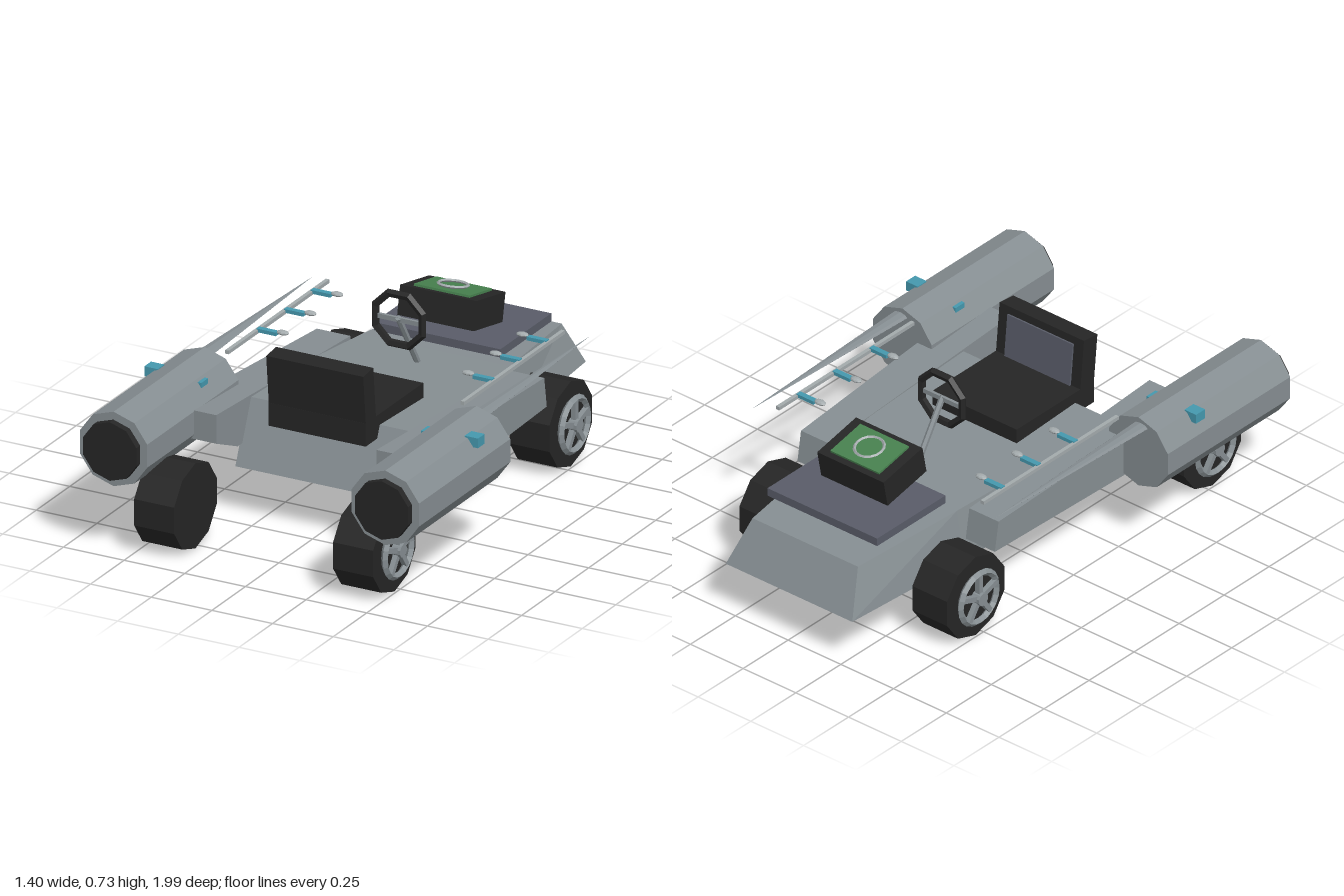
import * as THREE from 'three';

const flat = (name, color, side = THREE.FrontSide) => {
  const m = new THREE.MeshStandardMaterial({ color, flatShading: true, side });
  m.name = name;
  return m;
};

export function createModel() {
  const root = new THREE.Group();
  root.name = 'hoverBuggy';
  const grey = flat('bodyGrey', 0x868e92);
  const silver = flat('lightMetal', 0xa3aaac);
  const black = flat('rubberBlack', 0x252525);
  const slate = flat('slatePanel', 0x595c68);
  const green = flat('screenGreen', 0x47814f);
  const cyan = flat('cyanFitting', 0x4598ae);

  const add = (parent, name, geo, mat, x = 0, y = 0, z = 0) => {
    const m = new THREE.Mesh(geo, mat);
    m.name = name;
    m.position.set(x, y, z);
    parent.add(m);
    return m;
  };
  const box = (w, h, d) => new THREE.BoxGeometry(w, h, d);
  const group = (name, x = 0, y = 0, z = 0) => {
    const g = new THREE.Group();
    g.name = name;
    g.position.set(x, y, z);
    root.add(g);
    return g;
  };
  // Cylinder lying along z, or along x
  const cylZ = (r, len, n) => new THREE.CylinderGeometry(r, r, len, n).rotateX(Math.PI / 2);
  const cylX = (r, len, n) => new THREE.CylinderGeometry(r, r, len, n).rotateY(Math.PI / 2).rotateZ(Math.PI / 2);

  // Hull: [bottom z, bottom half width, top z, top half width, top y], tail to nose
  const stations = [
    [0.46, 0.34, 0.36, 0.34, 0.437],
    [0.0, 0.345, 0.0, 0.345, 0.42],
    [-0.42, 0.34, -0.42, 0.305, 0.398],
    [-0.995, 0.30, -0.905, 0.25, 0.372],
  ];
  const pos = [], idx = [];
  stations.forEach(([zb, wb, zt, wt, yt], i) => {
    pos.push(-wb, 0.2, zb, wb, 0.2, zb, wt, yt, zt, -wt, yt, zt);
    if (i === stations.length - 1) return;
    for (let k = 0; k < 4; k++) {
      const a = i * 4 + k, b = i * 4 + (k + 1) % 4, c = b + 4, d = a + 4;
      idx.push(a, d, c, a, c, b);
    }
  });
  const last = (stations.length - 1) * 4;
  idx.push(0, 1, 2, 0, 2, 3, last + 2, last + 1, last, last + 3, last + 2, last);
  const hull = new THREE.BufferGeometry();
  hull.setAttribute('position', new THREE.Float32BufferAttribute(pos, 3));
  hull.setIndex(idx);
  hull.computeVertexNormals();
  add(root, 'hull', hull, grey);

  // Seat with tilted, panelled backrest
  const seat = group('seat');
  add(seat, 'seatCushion', box(0.4, 0.09, 0.43), black, 0, 0.435, 0.25);
  const back = add(seat, 'seatBackrest', box(0.4, 0.28, 0.075), black, 0, 0.535, 0.432);
  back.rotation.x = 0.1;
  add(back, 'backrestPanel', box(0.31, 0.17, 0.008), slate, 0, 0.025, -0.041);

  // Front deck plate and tilted instrument console
  add(root, 'deckPlate', box(0.52, 0.032, 0.38), slate, 0, 0.434, -0.62);
  const console_ = group('console', 0, 0.538, -0.535);
  console_.rotation.x = -0.2;
  add(console_, 'consoleBox', box(0.315, 0.112, 0.22), black);
  add(console_, 'screen', box(0.23, 0.009, 0.17), green, 0, 0.06, 0);
  add(console_, 'screenRing', new THREE.TorusGeometry(0.055, 0.006, 4, 16).rotateX(Math.PI / 2), silver, 0, 0.072, 0);

  // Steering wheel and column
  const steering = group('steering', 0, 0.62, -0.145);
  add(steering, 'steeringWheel', new THREE.TorusGeometry(0.105, 0.016, 5, 8).rotateZ(Math.PI / 8), black);
  add(steering, 'steeringSpoke', box(0.2, 0.018, 0.012), grey);
  const column = add(steering, 'steeringColumn', new THREE.CylinderGeometry(0.012, 0.012, 0.28, 6), grey, 0, -0.11, -0.07);
  column.rotation.x = Math.atan2(0.14, 0.22);

  // Fender profile drawn in (-z, y)
  const fender = new THREE.Shape([
    [0.4, 0.28], [0.38, 0.40], [-0.62, 0.462], [-0.62, 0.35], [-0.46, 0.28],
  ].map(([u, v]) => new THREE.Vector2(u, v)).reverse());

  for (const s of [-1, 1]) {
    const side = s > 0 ? 'left' : 'right';

    // Fender flares out slightly toward the tail
    const fg = new THREE.ExtrudeGeometry(fender, { depth: 0.16, bevelEnabled: false });
    fg.rotateY(Math.PI / 2).translate(-0.08, 0, 0);
    const fp = fg.attributes.position;
    for (let i = 0; i < fp.count; i++) {
      const outer = fp.getX(i) * s > 0;
      fp.setX(i, s * (outer ? 0.48 + 0.03 * fp.getZ(i) : 0.33));
    }
    fg.computeVertexNormals();
    add(root, side + 'Fender', fg, grey);

    // Wheels with ringed five-spoke hubs
    for (const [place, z] of [['Front', -0.535], ['Rear', 0.78]]) {
      const w = group(side + place + 'Wheel', s * 0.41, 0.167, z);
      add(w, 'tyre', cylX(0.167, 0.165, 10), black);
      const ring = new THREE.TorusGeometry(0.1, 0.014, 4, 20).rotateY(Math.PI / 2);
      add(w, 'hubRing', ring, grey, s * 0.097);
      add(w, 'hubCap', cylX(0.026, 0.04, 10), grey, s * 0.1);
      for (let k = 0; k < 5; k++) {
        const spoke = box(0.02, 0.1, 0.02).translate(0, 0.05, 0).rotateX((k * Math.PI * 2) / 5);
        add(w, 'hubSpoke', spoke, grey, s * 0.098);
      }
    }

    // Engine pod, nozzle and cyan lugs
    const e = group(side + 'Engine', s * 0.56, 0.413, 0);
    add(e, 'enginePod', cylZ(0.146, 0.68, 10), grey, 0, 0, 0.63);
    add(e, 'engineNozzle', cylZ(0.115, 0.06, 10), black, 0, 0, 0.968);
    add(e, 'outerLug', box(0.055, 0.038, 0.05), cyan, s * 0.1, 0.107, 0.485);
    add(e, 'innerLug', box(0.045, 0.038, 0.05), cyan, s * -0.085, 0.09, 0.485);

    // Forward spike, flattened, and slim rail with inward arms
    const spike = new THREE.ConeGeometry(0.033, 0.83, 8).rotateX(-Math.PI / 2).scale(1, 0.4, 1);
    add(e, 'engineSpike', spike, grey, s * 0.01, 0.113, -0.12);
    add(e, 'rail', box(0.015, 0.014, 0.75), silver, s * -0.075, 0.13, -0.115);
    for (const z of [-0.375, -0.175, 0.03]) {
      add(e, 'railArm', box(0.08, 0.014, 0.022), cyan, s * -0.115, 0.134, z);
      add(e, 'railArmTip', new THREE.SphereGeometry(0.025, 8, 6).scale(1, 0.36, 0.65), silver, s * -0.178, 0.142, z);
    }
  }
  return root;
}
